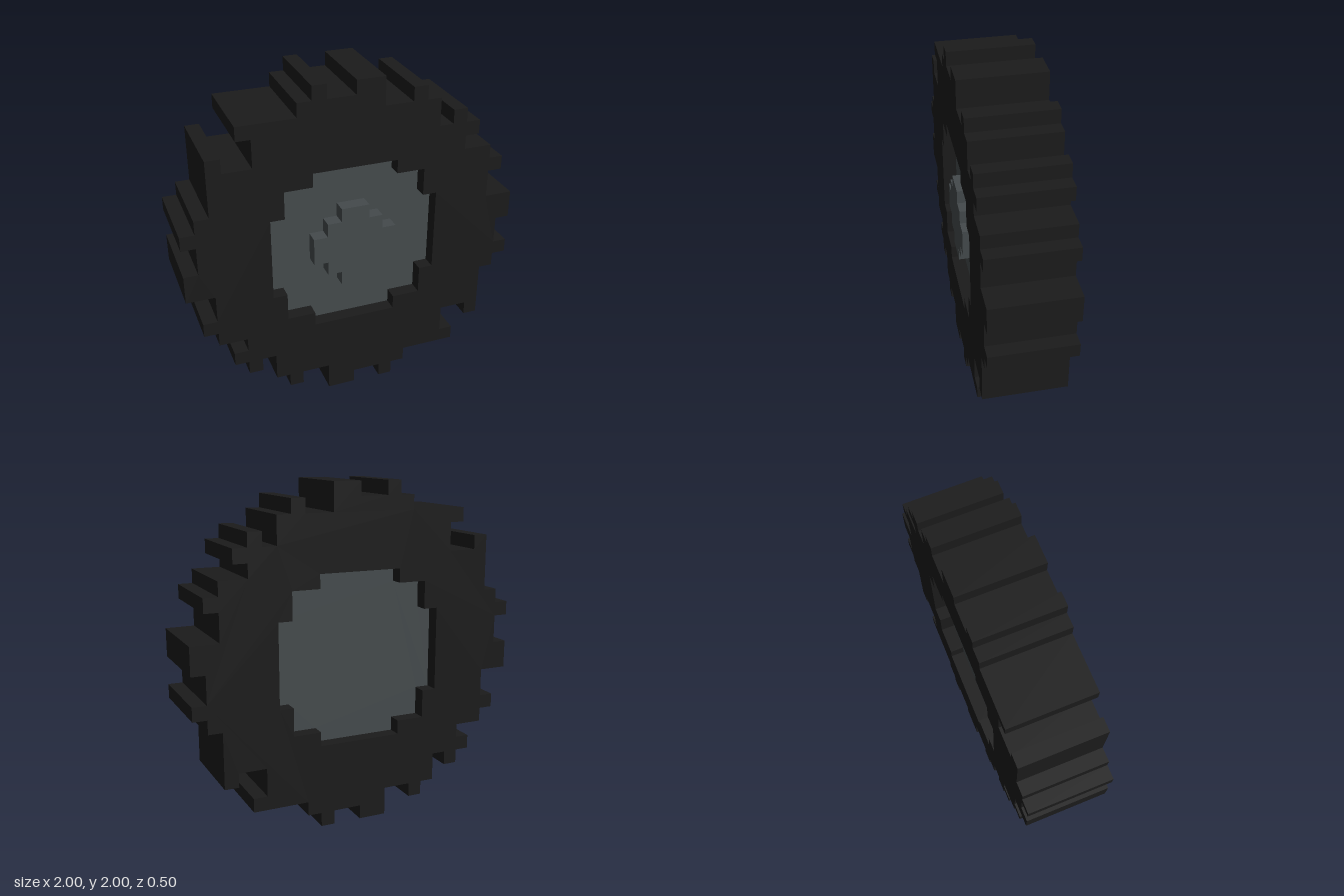
import * as THREE from 'three';

const U = 1 / 12; // one block of the stepped grid

// Stepped outline from half of its corners as [x, y] moves (first across, then up or down);
// the other half is the same path turned by 180 degrees.
function steppedPoints(half) {
  const points = [];
  let y = -half[half.length - 1][1];
  for (const sign of [1, -1]) {
    for (const [px, py] of half) {
      points.push(new THREE.Vector2(sign * px * U, y * U));
      y = sign * py;
      points.push(new THREE.Vector2(sign * px * U, y * U));
    }
  }
  return points;
}

// Slab of a shape between two depths, counted in blocks
function slab(name, shape, z0, z1, material) {
  const geometry = new THREE.ExtrudeGeometry(shape, { depth: (z1 - z0) * U, bevelEnabled: false });
  geometry.translate(0, 0, z0 * U);
  const mesh = new THREE.Mesh(geometry, material);
  mesh.name = name;
  return mesh;
}

export function createModel() {
  const rubber = new THREE.MeshStandardMaterial({ color: 0x1b1b1b });
  rubber.name = 'black rubber';
  const metal = new THREE.MeshStandardMaterial({ color: 0x444a4c });
  metal.name = 'grey metal';

  const treadHalf = [
    [-2, 11], [0, 12], [2, 10], [4, 11], [5, 10], [6, 8], [7, 9], [8, 8], [9, 7],
    [8, 6], [10, 5], [11, 4], [10, 2], [12, 0], [11, -2], [12, -3], [11, -4],
    [10, -8], [9, -7], [7, -9], [8, -10], [4, -11], [3, -12],
  ];
  const rimHalf = [[3, 5], [5, 3], [6, -3], [5, -5], [3, -6]];
  const capHalf = [[1, 2], [2, 1], [3, -1], [2, -2], [1, -3]];

  const wheel = new THREE.Group();
  wheel.name = 'wheel';

  // Tyre with uneven tread blocks; the opening runs the other way round so its walls face inward
  const tyreShape = new THREE.Shape(steppedPoints(treadHalf));
  tyreShape.holes.push(new THREE.Path(steppedPoints(rimHalf).reverse()));
  wheel.add(slab('tyre', tyreShape, -3, 3, rubber));

  // Rim set one block deep on both sides, with the cap on the front
  wheel.add(slab('rim', new THREE.Shape(steppedPoints(rimHalf)), -2, 2, metal));
  wheel.add(slab('hubCap', new THREE.Shape(steppedPoints(capHalf)), 2, 3, metal));

  wheel.position.y = 1;
  const model = new THREE.Group();
  model.name = 'blockWheel';
  model.add(wheel);
  return model;
}
